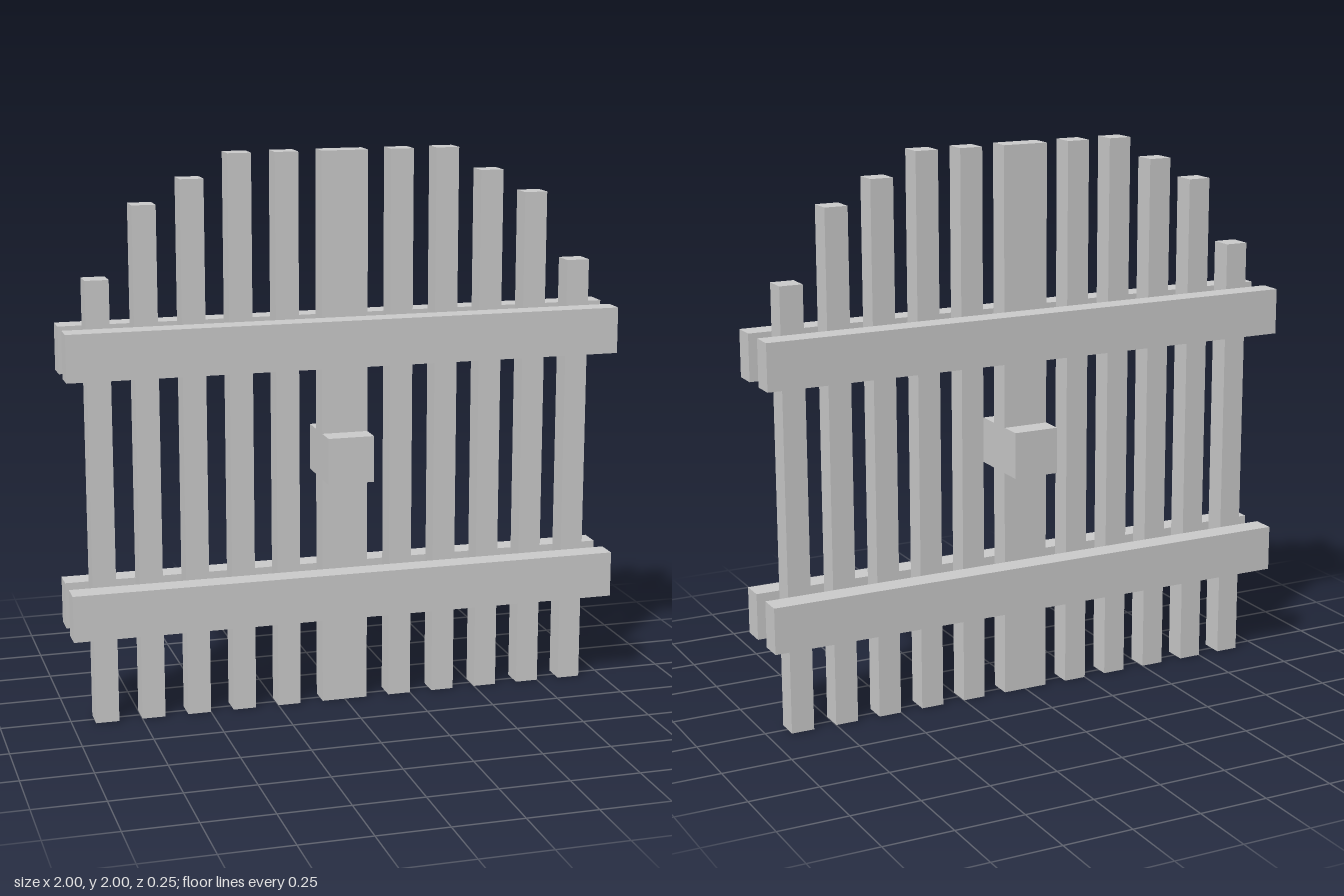
import * as THREE from 'three';

const U = 1 / 12; // plank thickness, the module of the whole gate

export function createModel() {
  const gate = new THREE.Group();
  gate.name = 'picketGate';
  const material = new THREE.MeshStandardMaterial({ color: 0xcccccc, flatShading: true });

  // box with its underside at y = bottom, sizes in plank units
  function plank(name, w, h, d, x, bottom, z) {
    const mesh = new THREE.Mesh(new THREE.BoxGeometry(w * U, h * U, d * U), material);
    mesh.name = name;
    mesh.position.set(x * U, (bottom + h / 2) * U, z * U);
    gate.add(mesh);
  }

  // wide middle board and pickets stepping down to both sides
  plank('centerBoard', 2, 24, 1, 0, 0, 0);
  [24, 24, 23, 22, 19].forEach((height, i) => {
    for (const side of [-1, 1]) {
      plank(side > 0 ? 'leftPicket' : 'rightPicket', 1, height, 1, side * (2.5 + 2 * i), 0, 0);
    }
  });

  // rails and latch block on both faces
  for (const face of [1, -1]) {
    const label = face > 0 ? 'front' : 'back';
    plank(label + 'LowerRail', 24, 2, 1, 0, 4, face);
    plank(label + 'UpperRail', 24, 2, 1, 0, 15, face);
    plank(label + 'LatchBlock', 2, 2, 1, 0, 10, face);
  }
  return gate;
}
